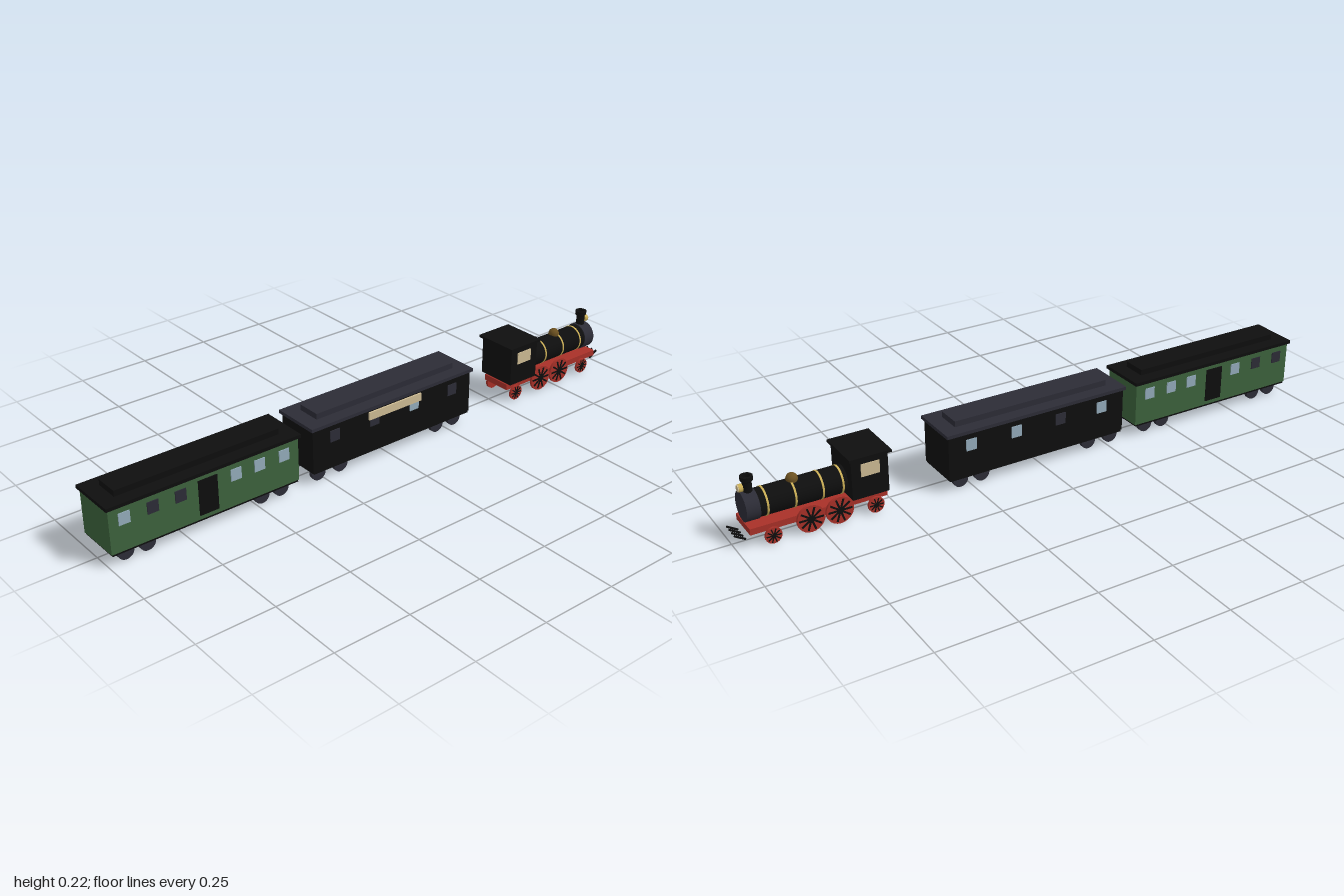
import * as THREE from 'three';

const mat = (name, color) => {
  const m = new THREE.MeshStandardMaterial({ color });
  m.name = name;
  return m;
};

export function createModel() {
  const black = mat('black', 0x0e0e0e);
  const charcoal = mat('charcoal', 0x2c2c36);
  const green = mat('carriage green', 0x3c623c);
  const red = mat('frame red', 0xa83028);
  const brass = mat('brass', 0xc9ad55);
  const bronze = mat('dome bronze', 0x6b5020);
  const cream = mat('cream', 0xcdbb93);
  const glass = mat('glass', 0x93abba);

  const train = new THREE.Group();
  train.name = 'train';

  const add = (parent, name, geometry, material, x = 0, y = 0, z = 0) => {
    const mesh = new THREE.Mesh(geometry, material);
    mesh.name = name;
    mesh.position.set(x, y, z);
    parent.add(mesh);
    return mesh;
  };
  // Box given by its x and y ranges, depth and centre z
  const box = (parent, name, material, x0, x1, y0, y1, depth, z = 0) =>
    add(parent, name, new THREE.BoxGeometry(x1 - x0, y1 - y0, depth), material, (x0 + x1) / 2, (y0 + y1) / 2, z);
  const group = (parent, name, x = 0) => {
    const g = new THREE.Group();
    g.name = name;
    g.position.x = x;
    parent.add(g);
    return g;
  };
  const disc = (radius, depth) => new THREE.CylinderGeometry(radius, radius, depth, 24).rotateX(Math.PI / 2);
  const barrel = (radius, length) => new THREE.CylinderGeometry(radius, radius, length, 32).rotateZ(Math.PI / 2);

  // Carriage: floor, walls, stepped roof, wheels and window plates on both sides
  function carriage(name, x, wall, roof, wheelXs, windows) {
    const g = group(train, name, x);
    box(g, 'floor', black, -0.315, 0.315, 0.037, 0.044, 0.15);
    box(g, 'body', wall, -0.318, 0.318, 0.043, 0.188, 0.152);
    box(g, 'roof', roof, -0.325, 0.325, 0.187, 0.198, 0.166);
    box(g, 'raisedRoof', roof, -0.275, 0.275, 0.198, 0.217, 0.08);
    for (const wx of wheelXs)
      for (const s of [-1, 1]) add(g, 'wheel', disc(0.026, 0.014), charcoal, wx, 0.026, s * 0.052);
    for (const [wx, front, back] of windows) {
      box(g, 'frontWindow', front, wx - 0.018, wx + 0.018, 0.128, 0.166, 0.004, 0.077);
      box(g, 'backWindow', back, wx - 0.018, wx + 0.018, 0.128, 0.166, 0.004, -0.077);
    }
    return g;
  }

  const rear = carriage('greenCarriage', -0.675, green, black, [-0.265, -0.195, 0.195, 0.265], [
    [-0.27, glass, charcoal], [-0.18, charcoal, charcoal], [-0.09, charcoal, glass],
    [0.096, glass, glass], [0.178, glass, glass], [0.265, glass, glass],
  ]);
  for (const s of [-1, 1]) box(rear, 'door', black, -0.032, 0.032, 0.057, 0.171, 0.004, s * 0.077);

  const middle = carriage('blackCarriage', 0.015, black, charcoal, [-0.285, -0.2, 0.195, 0.27], [
    [-0.235, charcoal, glass], [-0.08, charcoal, charcoal],
    [0.08, glass, glass], [0.24, charcoal, glass],
  ]);
  box(middle, 'signBoard', cream, -0.105, 0.105, 0.154, 0.18, 0.006, 0.08);

  // Locomotive frame and cab
  const loco = group(train, 'locomotive');
  box(loco, 'frame', red, 0.53, 0.96, 0.044, 0.064, 0.106);
  box(loco, 'cab', black, 0.53, 0.648, 0.068, 0.199, 0.138);
  box(loco, 'cabRoof', black, 0.52, 0.656, 0.198, 0.206, 0.156);
  for (const s of [-1, 1]) box(loco, 'cabWindow', cream, 0.558, 0.618, 0.139, 0.18, 0.004, s * 0.07);

  // Boiler with brass bands, smokebox, chimney, dome and lamp
  add(loco, 'boiler', barrel(0.043, 0.28), black, 0.785, 0.112);
  for (const x of [0.663, 0.725, 0.81, 0.895])
    add(loco, 'boilerBand', barrel(0.0445, 0.006), brass, x, 0.112);
  add(loco, 'smokebox', barrel(0.046, 0.042), charcoal, 0.939, 0.112);
  const chimney = [[0, 0.145], [0.014, 0.145], [0.014, 0.188], [0.019, 0.193], [0.019, 0.206], [0.012, 0.206], [0.012, 0.195], [0, 0.195]];
  // Doubled points keep the profile corners sharp
  const chimneyProfile = chimney.flatMap(([r, y]) => [new THREE.Vector2(r, y), new THREE.Vector2(r, y)]);
  add(loco, 'chimney', new THREE.LatheGeometry(chimneyProfile, 24), black, 0.936);
  add(loco, 'domeBase', new THREE.CylinderGeometry(0.018, 0.018, 0.02, 24), bronze, 0.803, 0.148);
  add(loco, 'dome', new THREE.SphereGeometry(0.018, 24, 12, 0, Math.PI * 2, 0, Math.PI / 2), bronze, 0.803, 0.157);
  add(loco, 'lampCase', barrel(0.012, 0.012), brass, 0.957, 0.172);
  add(loco, 'lampLens', barrel(0.0105, 0.004), cream, 0.964, 0.172);

  // Red wheels with dark spokes and hub on the outer face
  const spokedWheel = (name, x, radius, side) => {
    const wheel = group(loco, name, x);
    wheel.position.y = radius;
    wheel.position.z = side * 0.056;
    add(wheel, 'disc', disc(radius, 0.008), red);
    add(wheel, 'hub', disc(radius * 0.24, 0.008), black, 0, 0, side * 0.003);
    for (let i = 0; i < 5; i++) {
      const bar = add(wheel, 'spokes', new THREE.BoxGeometry(radius * 1.72, radius * 0.13, 0.004), black, 0, 0, side * 0.004);
      bar.rotation.z = (i * Math.PI) / 5;
    }
  };
  for (const s of [-1, 1]) {
    for (const x of [0.686, 0.777]) spokedWheel('drivingWheel', x, 0.044, s);
    for (const x of [0.57, 0.893]) spokedWheel('smallWheel', x, 0.026, s);
  }

  // Sloping guard bars ahead of the frame
  for (const z of [-0.03, -0.01, 0.01, 0.03]) {
    const bar = add(loco, 'guardBar', new THREE.BoxGeometry(0.038, 0.005, 0.005), black, 0.983, 0.033, z);
    bar.rotation.z = 0.55;
  }
  return train;
}
